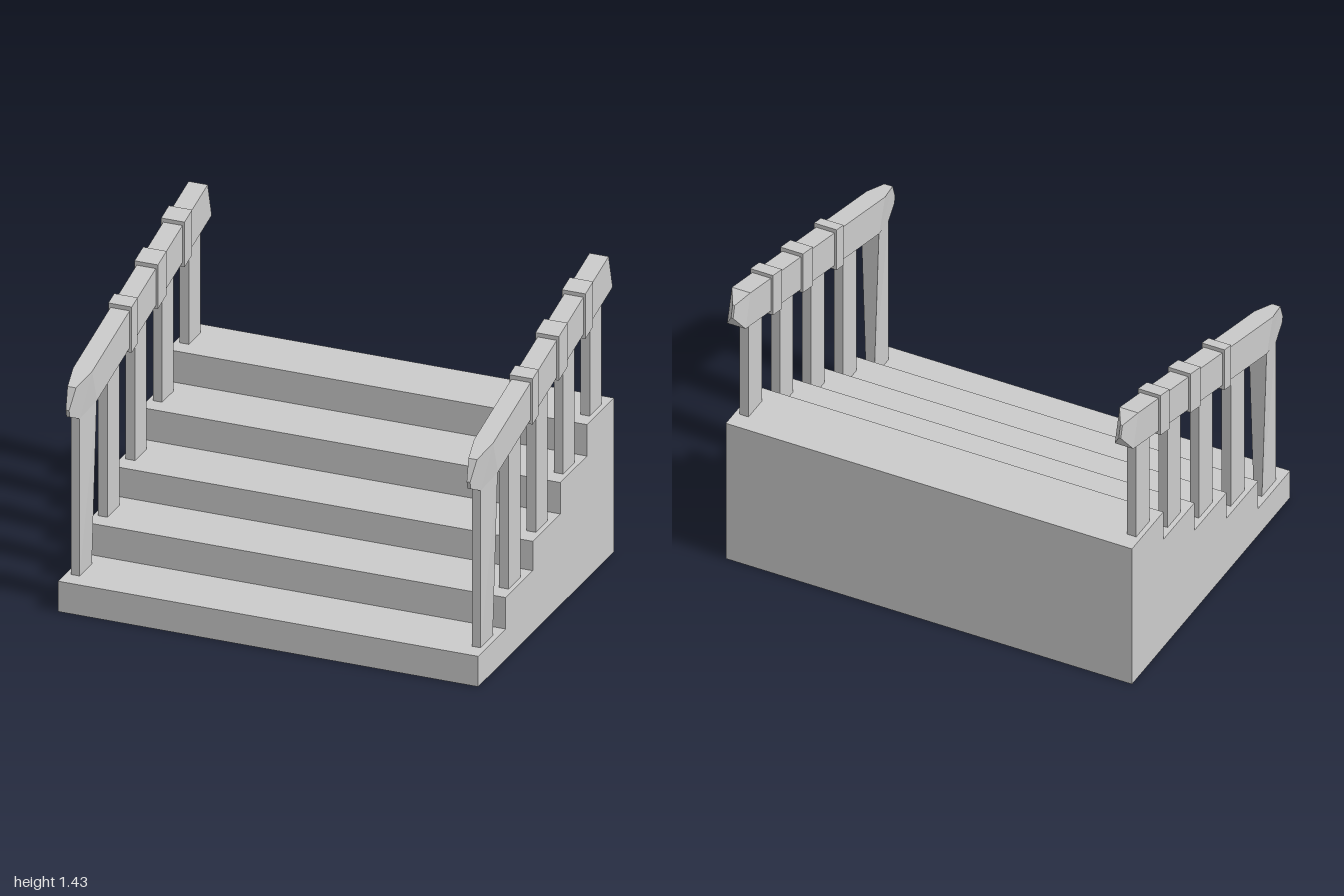
import * as THREE from 'three';

const material = new THREE.MeshStandardMaterial({ color: 0xcccccc, flatShading: true });

// Joins four-cornered sections running front to back.
// Section: [topZ, topY, bottomZ, bottomY, topHalfWidth, bottomHalfWidth]
function loft(name, sections) {
  const positions = [], index = [];
  for (const [tz, ty, bz, by, tw, bw = tw] of sections) {
    positions.push(-tw, ty, tz, -bw, by, bz, bw, by, bz, tw, ty, tz);
  }
  for (let s = 0; s < sections.length - 1; s++) {
    for (let k = 0; k < 4; k++) {
      const a = s * 4 + k, b = s * 4 + (k + 1) % 4;
      index.push(a, a + 4, b + 4, a, b + 4, b);
    }
  }
  const e = (sections.length - 1) * 4;
  index.push(0, 1, 2, 0, 2, 3, e, e + 2, e + 1, e, e + 3, e + 2);
  let geometry = new THREE.BufferGeometry();
  geometry.setAttribute('position', new THREE.Float32BufferAttribute(positions, 3));
  geometry.setIndex(index);
  geometry = geometry.toNonIndexed();
  geometry.computeVertexNormals();
  const mesh = new THREE.Mesh(geometry, material);
  mesh.name = name;
  return mesh;
}

// Front edge and height of each tread
const treads = [[0.765, 0.145], [0.46, 0.295], [0.16, 0.435], [-0.145, 0.585], [-0.44, 0.735]];
const backZ = -0.738;

function createSteps() {
  const shape = new THREE.Shape();
  shape.moveTo(backZ, 0);
  shape.lineTo(treads[0][0], 0);
  treads.forEach(([z, y], i) => {
    shape.lineTo(z, y);
    shape.lineTo(i < treads.length - 1 ? treads[i + 1][0] : backZ, y);
  });
  const geometry = new THREE.ExtrudeGeometry(shape, { depth: 1.975, bevelEnabled: false });
  geometry.rotateY(-Math.PI / 2);
  geometry.translate(0.985, 0, 0);
  const mesh = new THREE.Mesh(geometry, material);
  mesh.name = 'steps';
  return mesh;
}

const railUnderside = z => 0.93 + 0.268 * (0.545 - z);

function createRailing(name, x) {
  const railing = new THREE.Group();
  railing.name = name;
  railing.position.x = x;

  // Sloping handrail with pinched ends
  railing.add(loft('handrail', [
    [0.768, 0.97, 0.76, 0.935, 0.008],
    [0.72, 1.06, 0.68, 0.895, 0.02],
    [0.6, 1.092, 0.545, 0.93, 0.045],
    [-0.68, 1.435, -0.725, 1.27, 0.045],
    [-0.75, 1.4, -0.766, 1.34, 0.005],
  ]));

  // Front post, flaring towards the rail at its back
  railing.add(loft('frontPost', [
    [0.68, 0.897, 0.68, 0.14, 0.02, 0.02],
    [0.545, 0.932, 0.545, 0.14, 0.043, 0.02],
  ]));

  // Plain posts, one on each remaining tread
  [[0.375, 0.245], [0.07, -0.058], [-0.23, -0.355], [-0.525, -0.653]].forEach(([front, back], i) => {
    const foot = treads[i + 1][1] - 0.005;
    railing.add(loft('post', [front, back].map(z => [z, railUnderside(z) + 0.02, z, foot, 0.022])));
  });

  // Raised bands around the rail
  for (const [front, back, top, bottom] of [
    [0.185, 0.12, 1.223, 1.005],
    [-0.105, -0.2, 1.3, 1.09],
    [-0.4, -0.485, 1.378, 1.163],
  ]) {
    const rise = 0.268 * (front - back);
    railing.add(loft('railBand', [
      [front, top, front, bottom, 0.055],
      [back, top + rise, back, bottom + rise, 0.055],
    ]));
  }
  return railing;
}

export function createModel() {
  const model = new THREE.Group();
  model.name = 'staircase';
  model.add(createSteps(), createRailing('rightRailing', -0.945), createRailing('leftRailing', 0.94));
  return model;
}
